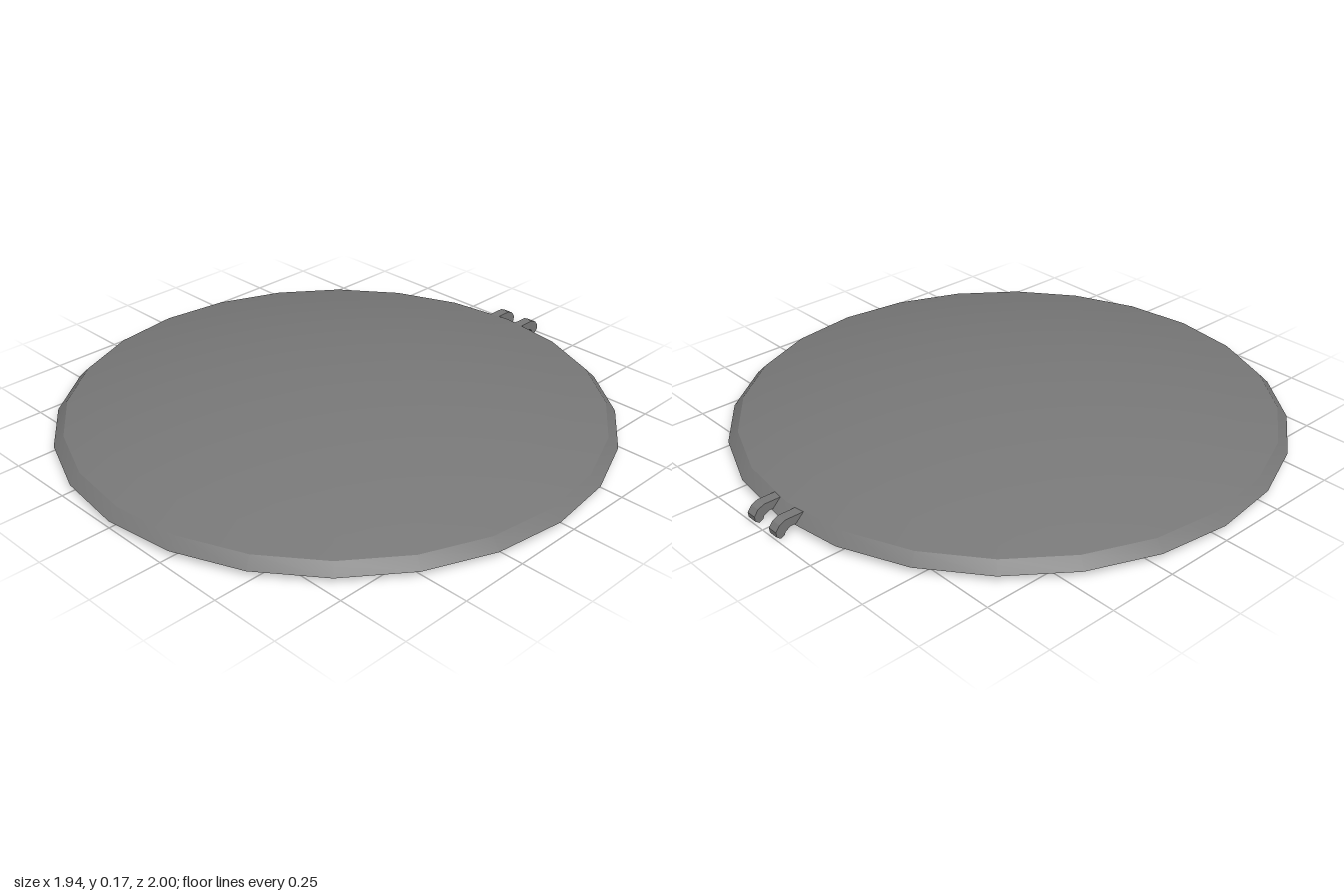
import * as THREE from 'three';
import { toCreasedNormals } from 'three/addons/utils/BufferGeometryUtils.js';

const grey = new THREE.MeshStandardMaterial({ color: 0x787878 });
grey.name = 'grey metal';
const dark = new THREE.MeshStandardMaterial({ color: 0x263539 });
dark.name = 'dark lining';

const SIDES = 24, RIM = 0.97, SHOULDER = 0.935, BASE = 0.025, CENTRE_Z = 0.03;
const HOLLOW = 0.05;

// Height of the slightly hollow underside at radius r
const underside = (r) => BASE + HOLLOW * (1 - (r / RIM) ** 2);

function part(name, geometry, material) {
  const mesh = new THREE.Mesh(geometry, material);
  mesh.name = name;
  return mesh;
}

// Shallow dome with a bevelled rim and a hollow underside
function lidGeometry() {
  const profile = [];
  const rings = 8;
  for (let i = 0; i <= rings; i++) {
    const r = (RIM * i) / rings;
    profile.push(new THREE.Vector2(r, underside(r)));
  }
  for (let i = 0; i <= rings; i++) {
    const t = 1 - i / rings;
    profile.push(new THREE.Vector2(SHOULDER * t, 0.06 + 0.115 * (1 - t * t)));
  }
  return toCreasedNormals(new THREE.LatheGeometry(profile, SIDES), THREE.MathUtils.degToRad(19));
}

// Turn a flat XY sheet face down and lay it just below the underside
function layUnder(geometry, gap) {
  geometry.rotateX(Math.PI / 2);
  const p = geometry.attributes.position;
  for (let i = 0; i < p.count; i++) {
    p.setY(i, underside(Math.hypot(p.getX(i), p.getZ(i))) - gap);
  }
  geometry.computeVertexNormals();
  return geometry;
}

// Thin lining with a scalloped edge
function liningGeometry() {
  const teeth = 44;
  const geometry = new THREE.RingGeometry(0, 1, teeth * 6, 8);
  const p = geometry.attributes.position;
  for (let i = 0; i < p.count; i++) {
    const x = p.getX(i), y = p.getY(i);
    const r = 0.875 + 0.013 * Math.cos(Math.atan2(y, x) * teeth);
    p.setXY(i, x * r, y * r);
  }
  return layUnder(geometry, 0.003);
}

// Rounded rectangular patch centred on (x, z)
function patchGeometry(x, z, w, h, r) {
  const a = x - w / 2, b = z - h / 2, c = x + w / 2, d = z + h / 2;
  const shape = new THREE.Shape();
  shape.moveTo(a + r, b).lineTo(c - r, b).quadraticCurveTo(c, b, c, b + r);
  shape.lineTo(c, d - r).quadraticCurveTo(c, d, c - r, d);
  shape.lineTo(a + r, d).quadraticCurveTo(a, d, a, d - r);
  shape.lineTo(a, b + r).quadraticCurveTo(a, b, a + r, b);
  return layUnder(new THREE.ShapeGeometry(shape, 5), 0.006);
}

// Side profile of a hinge hook, bending down behind the rim
function hookGeometry(width) {
  const points = [
    [0.89, 0.058], [0.962, 0.058], [0.985, 0.048], [1, 0.028], [0.998, 0.01], [0.985, 0],
    [0.97, 0.006], [0.965, 0.018], [0.945, 0.028], [0.89, 0.03],
  ];
  const shape = new THREE.Shape(points.map(([u, y]) => new THREE.Vector2(u, y)));
  const geometry = new THREE.ExtrudeGeometry(shape, { depth: width, bevelEnabled: false });
  geometry.translate(0, 0, -width / 2).rotateY(Math.PI / 2);
  return toCreasedNormals(geometry, THREE.MathUtils.degToRad(20));
}

export function createModel() {
  const model = new THREE.Group();
  model.name = 'domedLid';

  const body = new THREE.Group();
  body.name = 'lidBody';
  body.position.z = CENTRE_Z;
  body.add(part('lid', lidGeometry(), grey));
  body.add(part('lining', liningGeometry(), dark));
  body.add(part('centrePatch', patchGeometry(-0.016, -0.02, 0.13, 0.215, 0.03), grey));
  body.add(part('frontPatch', patchGeometry(-0.02, 0.71, 0.135, 0.075, 0.03), grey));
  body.add(part('backPatch', patchGeometry(-0.345, -0.47, 0.135, 0.075, 0.03), grey));
  model.add(body);

  const hook = hookGeometry(0.037);
  for (const side of [1, -1]) {
    const mesh = part(side > 0 ? 'leftHingeHook' : 'rightHingeHook', hook, grey);
    mesh.position.x = side * 0.058;
    model.add(mesh);
  }
  return model;
}
